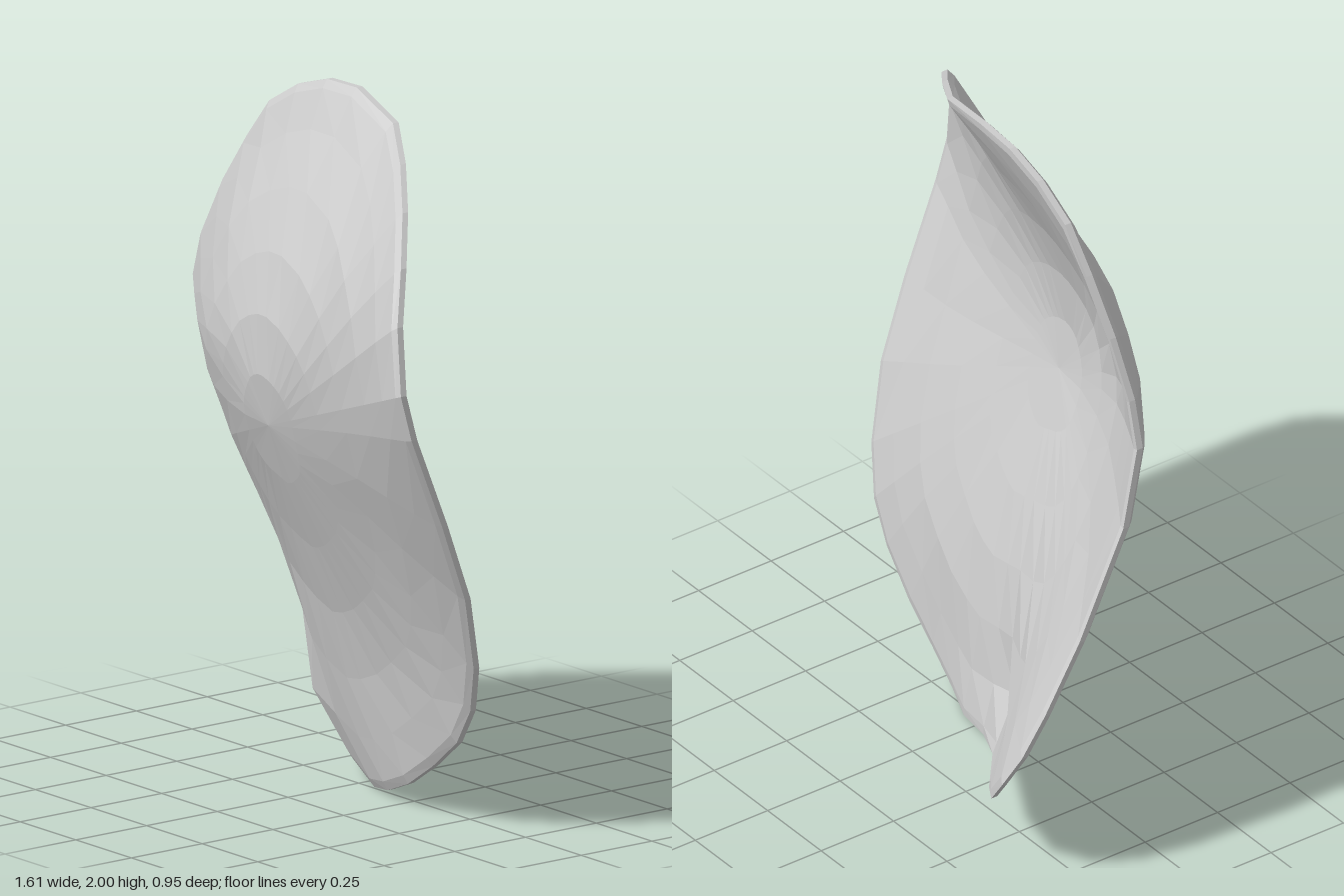
import * as THREE from 'three';

// Outer rim, counter-clockwise from the bottom: x, y, front z
const RIM = [
  [0.06, 0, 0], [0.17, 0.02, 0.04], [0.3, 0.07, 0.07], [0.43, 0.15, 0.085], [0.57, 0.25, 0.11],
  [0.65, 0.36, 0.125], [0.71, 0.5, 0.16], [0.76, 0.72, 0.23], [0.785, 0.95, 0.33], [0.8, 1.22, 0.45],
  [0.79, 1.35, 0.48], [0.73, 1.53, 0.445], [0.65, 1.67, 0.37], [0.53, 1.79, 0.27], [0.38, 1.88, 0.16],
  [0.22, 1.95, 0.06], [0, 2, 0.015], [-0.14, 1.995, 0.01], [-0.27, 1.955, 0.01], [-0.4, 1.88, 0.01],
  [-0.5, 1.76, 0.01], [-0.61, 1.61, 0.01], [-0.7, 1.45, 0.01], [-0.75, 1.32, 0], [-0.78, 1.1, -0.07],
  [-0.805, 0.8, -0.24], [-0.805, 0.6, -0.36], [-0.78, 0.47, -0.42], [-0.72, 0.36, -0.445],
  [-0.61, 0.24, -0.4], [-0.45, 0.15, -0.29], [-0.25, 0.09, -0.13], [-0.1, 0.04, -0.05],
];

// Inner points that shape the bend across the front: x, y, z
const BEND = [
  [-0.6, 1.25, 0.11], [-0.42, 1.27, 0.23], [-0.2, 1.32, 0.31], [0.12, 1.27, 0.36], [0.6, 1.3, 0.43],
  [-0.35, 1, 0.19], [-0.1, 1.08, 0.31], [0.35, 0.85, 0.255], [0.05, 0.75, 0.2], [-0.6, 0.9, -0.01],
  [-0.45, 0.6, -0.07], [-0.25, 0.2, -0.02], [0.2, 0.45, 0.11], [0, 1.65, 0.23], [0.35, 1.6, 0.33],
  [-0.35, 1.6, 0.17],
];

// Height function passing through all given points (radial interpolation)
function heightField(points) {
  const n = points.length;
  const rows = points.map((p) => [
    ...points.map((q) => Math.hypot(p[0] - q[0], p[1] - q[1])), p[2],
  ]);
  for (let c = 0; c < n; c++) {
    let best = c;
    for (let r = c + 1; r < n; r++) if (Math.abs(rows[r][c]) > Math.abs(rows[best][c])) best = r;
    [rows[c], rows[best]] = [rows[best], rows[c]];
    for (let r = 0; r < n; r++) {
      if (r === c) continue;
      const f = rows[r][c] / rows[c][c];
      for (let k = c; k <= n; k++) rows[r][k] -= f * rows[c][k];
    }
  }
  const weights = rows.map((row, i) => row[n] / row[i]);
  return (x, y) => points.reduce(
    (sum, p, i) => sum + weights[i] * Math.hypot(x - p[0], y - p[1]), 0);
}

function shellGeometry() {
  const height = heightField([...RIM, ...BEND]);
  const cx = 0, cy = 1.08, n = RIM.length;
  const scales = [0.16, 0.34, 0.52, 0.7, 0.86, 0.975];
  const thickness = (s) => 0.035 + 0.03 * Math.min(1, (1 - s) * 3);

  // Cross-section rings: front centre outwards, round the rim, back to the centre
  const rings = [
    ...scales.map((s) => ({ s, drop: 0 })),
    { s: 1, drop: 0.008 },
    { s: 1, drop: 0.028 },
    ...scales.slice().reverse().map((s) => ({ s, drop: thickness(s) })),
  ];
  const positions = [];
  const index = [];
  for (const { s, drop } of rings) {
    for (const [rx, ry] of RIM) {
      const x = cx + (rx - cx) * s, y = cy + (ry - cy) * s;
      positions.push(x, y, height(x, y) - drop);
    }
  }
  const front = positions.length / 3, back = front + 1;
  const z = height(cx, cy);
  positions.push(cx, cy, z, cx, cy, z - thickness(0));

  const last = (rings.length - 1) * n;
  for (let i = 0; i < n; i++) {
    const j = (i + 1) % n;
    index.push(front, i, j, back, last + j, last + i);
    for (let r = 0; r < rings.length - 1; r++) {
      const a = r * n, b = a + n;
      index.push(a + i, b + i, b + j, a + i, b + j, a + j);
    }
  }
  const geometry = new THREE.BufferGeometry();
  geometry.setAttribute('position', new THREE.Float32BufferAttribute(positions, 3));
  geometry.setIndex(index);
  const flat = geometry.toNonIndexed();
  flat.computeVertexNormals();
  return flat;
}

export function createModel() {
  const group = new THREE.Group();
  group.name = 'bentShell';
  const material = new THREE.MeshStandardMaterial({ color: 0xcccccc });
  material.name = 'light grey';
  const shell = new THREE.Mesh(shellGeometry(), material);
  shell.name = 'curvedPlate';
  group.add(shell);
  return group;
}
